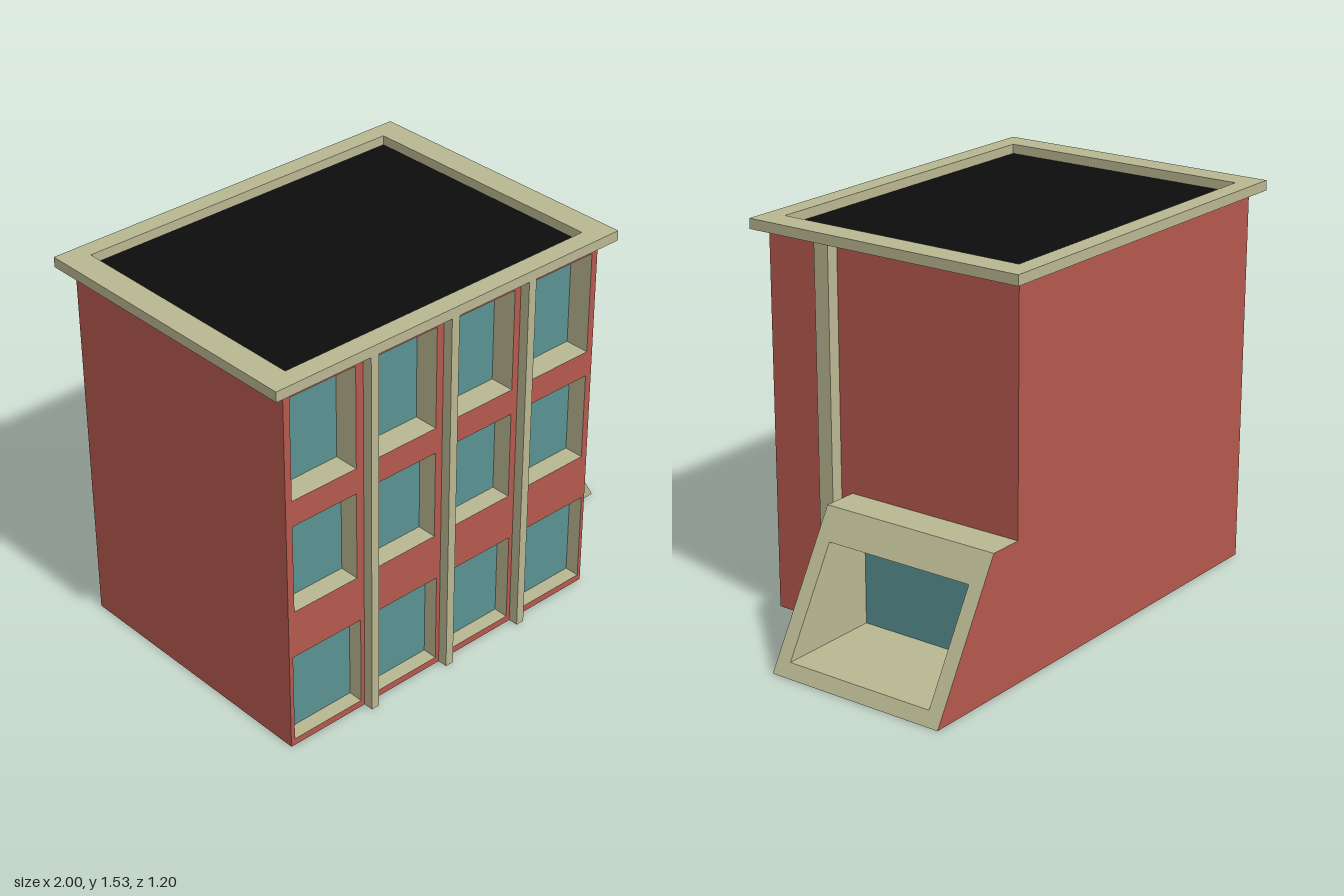
import * as THREE from 'three';

const material = (color) => new THREE.MeshStandardMaterial({ color, side: THREE.DoubleSide, flatShading: true });

export function createModel() {
  const model = new THREE.Group();
  const brick = material(0xb5594e);
  const stone = material(0xb9b791);
  const glass = material(0x5a9193);
  const tar = material(0x0d0d0d);

  // Main dimensions
  const X0 = -0.94, X1 = 0.54, Z = 0.56, H = 1.495;

  function add(name, geometry, mat, parent = model) {
    const mesh = new THREE.Mesh(geometry, mat);
    mesh.name = name;
    parent.add(mesh);
    return mesh;
  }

  // Flat-sided surface from four-cornered faces (counter-clockwise)
  function quads(list) {
    const pos = [];
    for (const [a, b, c, d] of list) pos.push(...a, ...b, ...c, ...a, ...c, ...d);
    const g = new THREE.BufferGeometry();
    g.setAttribute('position', new THREE.Float32BufferAttribute(pos, 3));
    g.computeVertexNormals();
    return g;
  }

  // Band of faces between two four-cornered loops
  const band = (outer, inner) => quads(outer.map((p, i) => {
    const j = (i + 1) % 4;
    return [p, outer[j], inner[j], inner[i]];
  }));

  const rect = (x0, x1, y0, y1, z) => [[x0, y0, z], [x1, y0, z], [x1, y1, z], [x0, y1, z]];
  const shapeOf = (pts, Type = THREE.Shape) => new Type(pts.map(([x, y]) => new THREE.Vector2(x, y)));

  // Window rows: height range, recess depth, horizontal range of each column
  const upper = [[-0.912, -0.623], [-0.522, -0.25], [-0.148, 0.124], [0.226, 0.512]];
  const lower = [[-0.923, -0.607], [-0.536, -0.236], [-0.164, 0.135], [0.21, 0.525]];
  const rows = [
    { y0: 1.048, y1: 1.457, depth: 0.1, cols: upper },
    { y0: 0.586, y1: 0.944, depth: 0.08, cols: upper },
    { y0: 0.027, y1: 0.393, depth: 0.06, cols: lower },
  ];

  // Front wall with recessed windows
  const front = shapeOf(rect(X0, X1, 0, H, 0));
  const windows = new THREE.Group();
  windows.name = 'windows';
  model.add(windows);
  for (const { y0, y1, depth, cols } of rows) {
    for (const [x0, x1] of cols) {
      const opening = rect(x0, x1, y0, y1, Z);
      const pane = rect(x0, x1, y0, y1, Z - depth);
      front.holes.push(shapeOf(opening, THREE.Path));
      add('windowReveal', band(opening, pane), stone, windows);
      add('windowPane', quads([pane]), glass, windows);
    }
  }
  add('frontWall', new THREE.ShapeGeometry(front), brick).position.z = Z;

  // Side walls
  add('leftWall', quads([[[X1, 0, Z], [X1, 0, -Z], [X1, H, -Z], [X1, H, Z]]]), brick);
  add('rightWall', quads([[[X0, 0, -Z], [X0, 0, Z], [X0, H, Z], [X0, H, -Z]]]), brick);

  // Back wall, continuing across the sloped annex
  const slopeX = (y) => 1 - 0.32 * y / 0.55;
  const back = shapeOf([[-X0, 0], [-X0, H], [-X1, H], [-X1, 0.55], [-0.68, 0.55], [-1, 0]]);
  const backWall = add('backWall', new THREE.ShapeGeometry(back), brick);
  backWall.rotation.y = Math.PI;
  backWall.position.z = -Z;

  // Sloped annex: framed opening with a deep recess to a window on the wall
  const annex = new THREE.Group();
  annex.name = 'annex';
  model.add(annex);
  const A = 0.19;
  const loop = (y0, y1, z0, z1, xAt) =>
    [[xAt(y0), y0, z1], [xAt(y0), y0, z0], [xAt(y1), y1, z0], [xAt(y1), y1, z1]];
  const frame = loop(0, 0.55, -Z, A, slopeX);
  const opening = loop(0.05, 0.44, -0.5, 0.13, slopeX);
  const pane = loop(0.05, 0.44, -0.5, 0.13, () => X1 + 0.005);
  add('annexFrame', band(frame, opening), stone, annex);
  add('annexRecess', band(opening, pane), stone, annex);
  add('annexWindow', quads([pane]), glass, annex);
  add('annexShell', quads([
    [[X1, 0, A], [1, 0, A], [0.68, 0.55, A], [X1, 0.55, A]],
    [[X1, 0.55, A], [0.68, 0.55, A], [0.68, 0.55, -Z], [X1, 0.55, -Z]],
  ]), stone, annex);

  // Front pilasters between the window columns
  for (const x of [-0.572, -0.201, 0.17]) {
    add('frontPilaster', new THREE.BoxGeometry(0.035, H, 0.045), stone).position.set(x, H / 2, 0.5775);
  }

  // Side pilaster with bevelled flanks
  const side = shapeOf([[0.535, -0.328], [0.58, -0.314], [0.58, -0.25], [0.535, -0.24]]);
  add('sidePilaster', new THREE.ExtrudeGeometry(side, { depth: H, bevelEnabled: false }), stone)
    .rotation.x = -Math.PI / 2;

  // Parapet rim and sunken roof
  const rim = shapeOf(rect(-1, 0.6, -0.6, 0.6, 0));
  rim.holes.push(shapeOf(rect(-0.895, 0.495, -0.522, 0.525, 0), THREE.Path));
  const parapet = add('parapet', new THREE.ExtrudeGeometry(rim, { depth: 0.04, bevelEnabled: false }), stone);
  parapet.rotation.x = -Math.PI / 2;
  parapet.position.y = H;
  const roof = add('roof', new THREE.PlaneGeometry(1.4, 1.06), tar);
  roof.rotation.x = -Math.PI / 2;
  roof.position.set(-0.2, H + 0.002, 0);

  return model;
}
